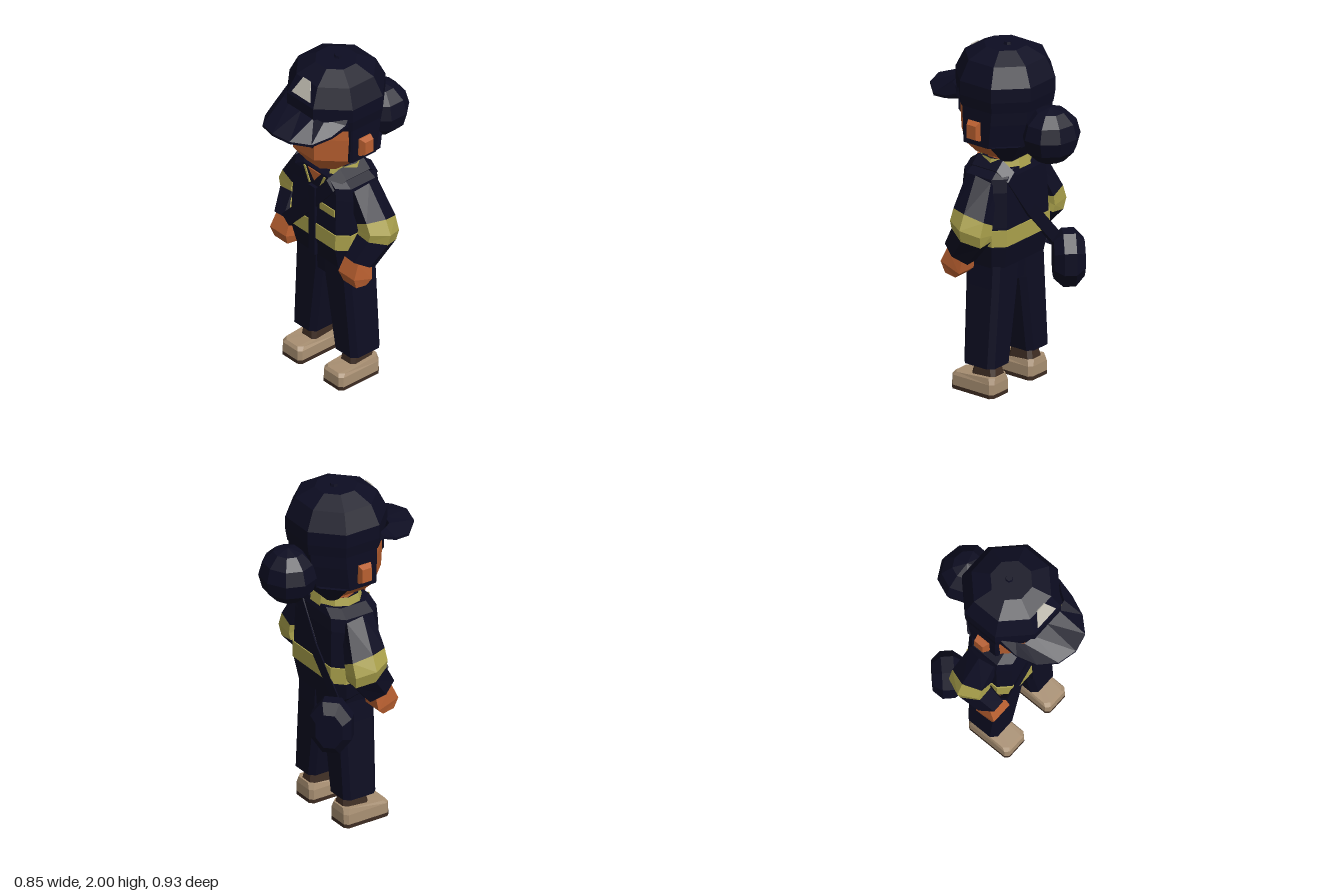
import * as THREE from 'three';

const mat = (name, color, side = THREE.FrontSide) => {
  const m = new THREE.MeshStandardMaterial({ color, side });
  m.name = name;
  return m;
};

// Facet a geometry so every polygon is flat
function flat(geo) {
  const g = geo.index ? geo.toNonIndexed() : geo;
  g.computeVertexNormals();
  return g;
}

// Skin a list of rings of [x, y, z] points; winding is fixed from the signed volume
function loft(rings, caps = true) {
  const n = rings[0].length, tris = [];
  for (let r = 0; r < rings.length - 1; r++) {
    for (let i = 0; i < n; i++) {
      const j = (i + 1) % n;
      const a = rings[r][i], b = rings[r + 1][i], c = rings[r + 1][j], d = rings[r][j];
      tris.push([a, b, c], [a, c, d]);
    }
  }
  if (caps) {
    const f = rings[0], l = rings[rings.length - 1];
    for (let i = 1; i < n - 1; i++) tris.push([f[0], f[i], f[i + 1]], [l[0], l[i + 1], l[i]]);
  }
  let volume = 0;
  for (const t of tris) {
    const [a, b, c] = t.map((p) => new THREE.Vector3(...p));
    volume += a.dot(b.cross(c));
  }
  const pos = tris.flatMap((t) => (volume < 0 ? [t[0], t[2], t[1]] : t)).flat();
  const g = new THREE.BufferGeometry();
  g.setAttribute('position', new THREE.Float32BufferAttribute(pos, 3));
  g.computeVertexNormals();
  return g;
}

// Chamfered rectangle at height y; cf and cb are the front and back corner cuts
const rect = (y, x0, x1, z0, z1, cf, cb = cf) => [
  [x1, y, z0 + cb], [x1, y, z1 - cf], [x1 - cf, y, z1], [x0 + cf, y, z1],
  [x0, y, z1 - cf], [x0, y, z0 + cb], [x0 + cb, y, z0], [x1 - cb, y, z0],
];
const sym = (y, hx, z0, z1, cf, cb) => rect(y, -hx, hx, z0, z1, cf, cb);

// Thin flat polygon facing the front
function plate(points, depth = 0.006) {
  const s = new THREE.Shape(points.map((p) => new THREE.Vector2(...p)));
  return new THREE.ExtrudeGeometry(s, { depth, bevelEnabled: false });
}

export function createModel() {
  const model = new THREE.Group();
  const navy = mat('navy cloth', 0x0d0d22);
  const skin = mat('skin', 0xb85f30);
  const yellow = mat('yellow band', 0xaba24c, THREE.DoubleSide);
  const tan = mat('tan leather', 0xa88f72);
  const brown = mat('dark brown', 0x3d2c22);
  const silver = mat('pale patch', 0xc4c0b4);

  const add = (name, geo, material, x = 0, y = 0, z = 0) => {
    const m = new THREE.Mesh(geo, material);
    m.name = name;
    m.position.set(x, y, z);
    model.add(m);
    return m;
  };

  // Head and hair
  add('head', loft([
    sym(1.36, 0.115, -0.1, 0.17, 0.06), sym(1.46, 0.235, -0.19, 0.24, 0.15),
    sym(1.6, 0.24, -0.2, 0.245, 0.15), sym(1.72, 0.235, -0.2, 0.24, 0.15),
  ]), skin);
  add('hair', loft([
    sym(1.46, 0.242, -0.2, 0.11, 0.01, 0.13), sym(1.6, 0.248, -0.23, 0.11, 0.01, 0.14),
    sym(1.72, 0.248, -0.24, 0.11, 0.01, 0.14),
  ]), navy);
  add('napeHair', loft([
    sym(1.355, 0.125, -0.12, -0.06, 0.005, 0.025), sym(1.47, 0.243, -0.2, -0.07, 0.01, 0.1),
  ]), navy);
  const bun = new THREE.SphereGeometry(0.17, 9, 6);
  bun.scale(1, 0.95, 0.93);
  add('hairBun', flat(bun), navy, 0, 1.53, -0.31);

  for (const s of [1, -1]) {
    // Eye and ear
    add('eye', plate([[0, 0.06], [-0.023, 0.035], [-0.023, -0.03], [0, -0.06], [0.023, -0.03], [0.023, 0.035]]),
      navy, s * 0.077, 1.598, 0.242);
    const ear = (x, dy, z0, z1) => [[s * x, 1.55 - dy, z0], [s * x, 1.55 + dy, z0], [s * x, 1.55 + dy, z1], [s * x, 1.55 - dy, z1]];
    add('ear', loft([ear(0.22, 0.05, -0.02, 0.065), ear(0.255, 0.055, -0.02, 0.06), ear(0.285, 0.04, -0.015, 0.045)]), skin);
  }

  // Cap
  const crown = [[1.675, 0.25], [1.74, 0.26], [1.82, 0.26], [1.93, 0.21], [1.985, 0.11]];
  add('capCrown', loft(crown.map(([y, h]) => sym(y, h, 0.005 - h, 0.005 + h, h * 0.585))), navy);
  add('capButton', flat(new THREE.CylinderGeometry(0.02, 0.025, 0.025, 6)), navy, 0, 1.9875, -0.01);
  // Brim stations: inner x, y, z then outer x, y, z
  const half = [
    [0.24, 1.76, 0.13, 0.243, 1.73, 0.15], [0.19, 1.75, 0.2, 0.23, 1.69, 0.24],
    [0.165, 1.75, 0.24, 0.19, 1.665, 0.35], [0.1, 1.755, 0.255, 0.11, 1.685, 0.437],
  ];
  const mid = [0, 1.757, 0.255, 0, 1.695, 0.465];
  const stations = [...half.map((p) => [-p[0], p[1], p[2], -p[3], p[4], p[5]]), mid, ...[...half].reverse()];
  add('capBrim', loft(stations.map(([a, b, c, d, e, f]) => [
    [a, b, c], [d, e, f], [d, e - 0.015, f], [a, b - 0.055, c - 0.01],
  ])), navy);
  const patch = add('capPatch', plate([[-0.075, -0.05], [0.075, -0.05], [0.03, 0.055], [-0.03, 0.055]]),
    silver, 0, 1.885, 0.234);
  patch.rotation.x = -0.43;

  // Neck, collar and open jacket neckline
  add('neck', flat(new THREE.CylinderGeometry(0.075, 0.075, 0.16, 8)), skin, 0, 1.31, 0.03);
  const collar = new THREE.CylinderGeometry(0.148, 0.165, 0.06, 9, 1, true, 0.5, Math.PI * 2 - 1);
  collar.scale(1, 1, 0.85);
  add('collar', flat(collar), yellow, 0, 1.33, 0);
  add('necklineSkin', plate([[-0.05, 1.315], [0, 1.25], [0.05, 1.315]]), skin, 0, 0, 0.158);
  for (const s of [1, -1]) {
    add('collarTrim', plate([[s * 0.075, 1.31], [s * 0.035, 1.22], [s * 0.045, 1.215], [s * 0.09, 1.31]]),
      yellow, 0, 0, 0.157);
  }

  // Jacket with its bands
  add('jacket', loft([
    sym(0.755, 0.22, -0.125, 0.14, 0.05), sym(0.88, 0.24, -0.15, 0.17, 0.06),
    sym(1.0, 0.24, -0.15, 0.168, 0.06), sym(1.2, 0.235, -0.145, 0.158, 0.06),
    sym(1.275, 0.225, -0.14, 0.156, 0.06), sym(1.315, 0.16, -0.13, 0.15, 0.06),
  ]), navy);
  add('waistBand', loft([sym(0.89, 0.246, -0.156, 0.176, 0.06), sym(0.985, 0.246, -0.156, 0.174, 0.06)]), yellow);
  add('chestBand', plate([[0.05, 1.095], [0.17, 1.095], [0.17, 1.14], [0.05, 1.14]]), yellow, 0, 0, 0.163);
  add('zipFlap', new THREE.BoxGeometry(0.05, 0.44, 0.02), navy, 0, 1.0, 0.171);

  // Shoulder strap running round the torso, then the bag
  const strapPath = [
    [-0.25, 0.8, -0.16], [-0.02, 1.05, -0.162], [0.14, 1.28, -0.148], [0.155, 1.335, -0.08], [0.155, 1.335, 0.09],
    [0.13, 1.28, 0.165], [-0.02, 1.1, 0.178], [-0.215, 0.89, 0.183], [-0.25, 0.84, 0.1], [-0.255, 0.8, -0.1], [-0.25, 0.8, -0.16],
  ];
  add('strap', loft(strapPath.map(([x, y, z]) => {
    const k = 0.975;
    return [[x - 0.028, y + 0.024, z], [x + 0.028, y - 0.024, z],
      [(x + 0.028) * k, y - 0.03, z * k * 0.95], [(x - 0.028) * k, y + 0.018, z * k * 0.95]];
  }), false), navy);
  const bagProfile = [[0, -0.1], [0.1, -0.1], [0.155, -0.04], [0.155, 0.04], [0.11, 0.1], [0, 0.1]];
  const bag = new THREE.LatheGeometry(bagProfile.map((p) => new THREE.Vector2(...p)), 8);
  bag.rotateY(Math.PI / 8);
  bag.rotateX(Math.PI / 2);
  bag.scale(0.8, 1.08, 0.85);
  bag.rotateY(Math.PI / 4);
  add('bag', flat(bag), navy, -0.28, 0.695, -0.21);

  for (const s of [1, -1]) {
    // Arm: hexagonal rings given by centre, outward half axis and depth half axis
    const ring = (c, u, v) => Array.from({ length: 6 }, (_, i) => {
      const a = (i * Math.PI) / 3;
      const p = c.map((q, k) => q + Math.cos(a) * u[k] + Math.sin(a) * v[k]);
      return [s * p[0], p[1], p[2]];
    });
    const arm = [
      ring([0.215, 1.235, 0], [0.05, 0.06, 0], [0, 0, 0.1]),
      ring([0.305, 1.07, -0.015], [0.08, 0.04, 0], [0, 0.02, 0.12]),
      ring([0.325, 1.01, -0.015], [0.1, 0.015, 0], [0, 0.03, 0.12]),
      ring([0.315, 0.965, -0.01], [0.092, -0.01, 0], [0, 0.04, 0.115]),
      ring([0.29, 0.835, 0.085], [0.075, -0.005, 0], [0, 0.05, 0.09]),
    ];
    add('upperSleeve', loft(arm.slice(0, 2)), navy);
    add('sleeveBand', loft(arm.slice(1, 4)), yellow);
    add('foreSleeve', loft(arm.slice(3)), navy);
    // Hand tilted forward, narrower at the knuckles
    add('hand', loft([
      [[0.225, 0.86, 0.14], [0.335, 0.86, 0.14], [0.335, 0.8, 0.04], [0.225, 0.8, 0.04]],
      [[0.215, 0.775, 0.178], [0.345, 0.775, 0.178], [0.345, 0.73, 0.05], [0.215, 0.73, 0.05]],
      [[0.23, 0.71, 0.155], [0.335, 0.71, 0.155], [0.335, 0.698, 0.085], [0.23, 0.698, 0.085]],
    ].map((r) => r.map(([x, y, z]) => [s * x, y, z]))), skin);

    // Trouser leg, ankle and shoe
    const leg = (y, x0, x1, z0, z1, c) => rect(y, Math.min(s * x0, s * x1), Math.max(s * x0, s * x1), z0, z1, c);
    add('trouserLeg', loft([
      leg(0.175, 0.08, 0.26, -0.105, 0.105, 0.03), leg(0.63, 0.012, 0.225, -0.11, 0.118, 0.03),
      leg(0.8, 0, 0.215, -0.11, 0.122, 0.03),
    ]), navy);
    add('ankle', loft([leg(0.09, 0.1, 0.22, -0.09, 0.08, 0.02), leg(0.18, 0.115, 0.205, -0.07, 0.06, 0.02)]), brown);
    add('sole', loft([leg(0, 0.088, 0.25, -0.1, 0.19, 0.02), leg(0.022, 0.088, 0.25, -0.1, 0.19, 0.02)]), brown);
    const top = leg(0.115, 0.1, 0.24, -0.095, 0.175, 0.025).map(([x, y, z]) => [x, z > 0.1 ? 0.098 : y, z]);
    add('shoe', loft([leg(0.022, 0.088, 0.25, -0.1, 0.19, 0.02), leg(0.08, 0.09, 0.248, -0.1, 0.188, 0.02), top]), tan);
  }
  add('hips', loft([sym(0.64, 0.2, -0.1, 0.11, 0.03), sym(0.78, 0.21, -0.11, 0.12, 0.03)]), navy);

  return model;
}
